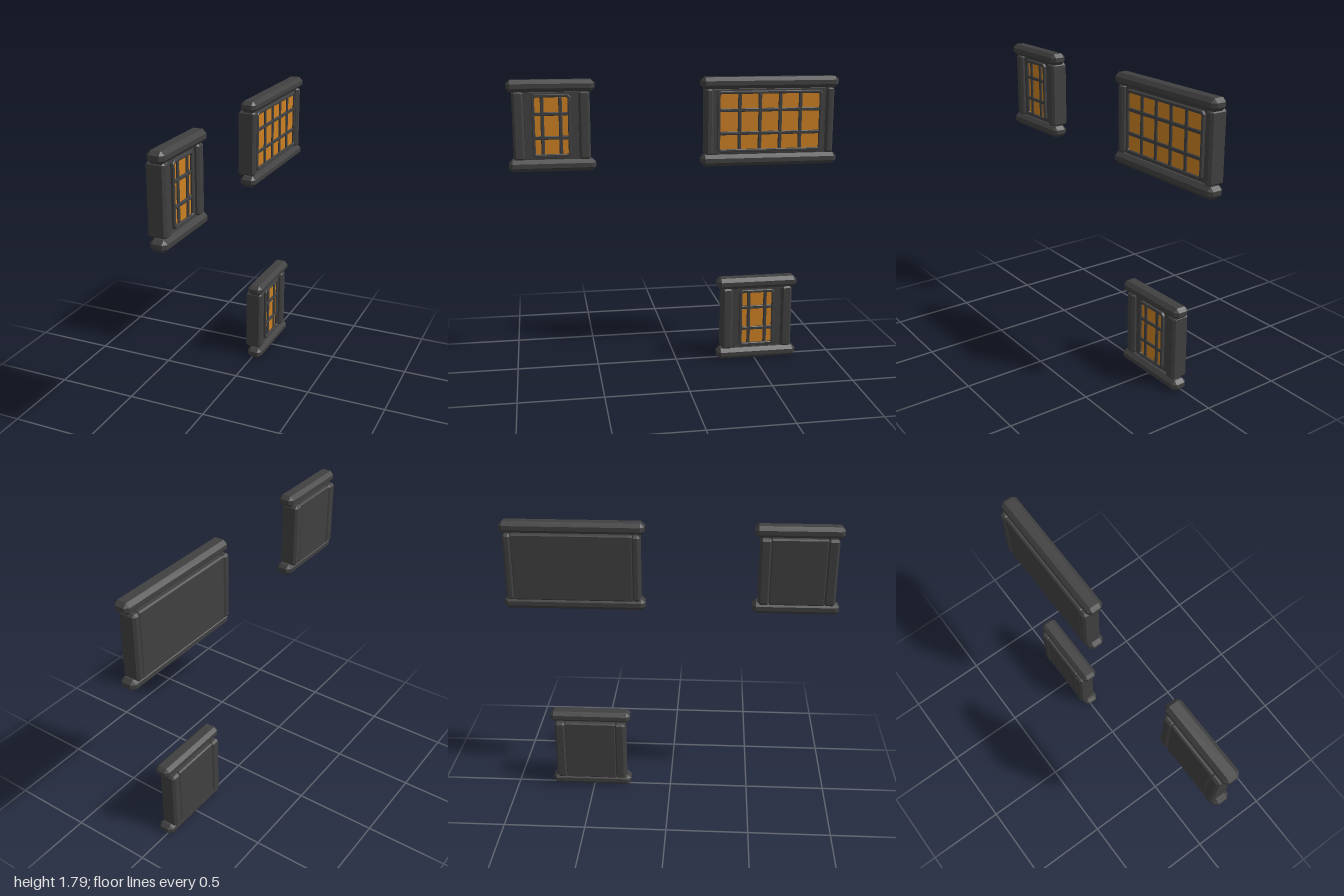
import * as THREE from 'three';
import { ConvexGeometry } from 'three/addons/geometries/ConvexGeometry.js';

const dark = new THREE.MeshStandardMaterial({ color: 0x404040 });
dark.name = 'charcoal frame';
const amber = new THREE.MeshStandardMaterial({ color: 0xcc8022 });
amber.name = 'amber glass';

// Box with every edge cut at 45 degrees
function chamferBox(w, h, d, c) {
  const pts = [];
  for (const x of [-1, 1]) for (const y of [-1, 1]) for (const z of [-1, 1]) {
    const [a, b, e] = [w / 2, h / 2, d / 2];
    pts.push(
      new THREE.Vector3(x * a, y * (b - c), z * (e - c)),
      new THREE.Vector3(x * (a - c), y * b, z * (e - c)),
      new THREE.Vector3(x * (a - c), y * (b - c), z * e));
  }
  return new ConvexGeometry(pts);
}

function add(group, name, geometry, material, x, y, z) {
  const mesh = new THREE.Mesh(geometry, material);
  mesh.name = name;
  mesh.position.set(x, y, z);
  group.add(mesh);
}

// Rectangle with cut corners, as an outline or as a hole
function cutRect(Type, w, h, c) {
  const a = w / 2, b = h / 2;
  return new Type([[c - a, -b], [a - c, -b], [a, c - b], [a, b - c], [a - c, b], [c - a, b], [-a, b - c], [-a, c - b]]
    .map(p => new THREE.Vector2(...p)));
}

// Thin raised border facing +x
function borderGeometry(w, h, t) {
  const shape = cutRect(THREE.Shape, w, h, 0.016);
  shape.holes.push(cutRect(THREE.Path, w - 2 * t, h - 2 * t, 0.006));
  return new THREE.ExtrudeGeometry(shape, {
    depth: 0.02, bevelThickness: 0.004, bevelSize: 0.004, bevelOffset: -0.004, bevelSegments: 1
  }).rotateY(Math.PI / 2);
}

// One window around its own middle, facing +x
function makeWindow(name, { rail, postCentre, postWidth, glass, bars }) {
  const g = new THREE.Group();
  g.name = name;
  // top and bottom rails, side posts
  for (const s of [-1, 1]) {
    add(g, s > 0 ? 'topRail' : 'bottomRail', chamferBox(0.1, 0.07, rail, 0.022), dark, 0.006, s * 0.233, 0);
    add(g, 'sidePost', chamferBox(0.11, 0.406, postWidth, 0.014), dark, -0.01, 0, s * postCentre);
  }
  // backing panel between the posts
  add(g, 'backPanel', chamferBox(0.08, 0.405, 2 * postCentre - postWidth + 0.012, 0.008), dark, -0.02, 0, 0);
  // glass with its border and glazing bars
  add(g, 'glassPane', new THREE.BoxGeometry(0.008, 0.34, glass), amber, 0.021, 0, 0);
  add(g, 'glassBorder', borderGeometry(glass + 0.034, 0.37, 0.018), dark, 0.014, 0, 0);
  for (const z of bars)
    add(g, 'uprightBar', chamferBox(0.022, 0.34, 0.021, 0.004), dark, 0.024, 0, z);
  for (const y of [-0.07, 0.07])
    add(g, 'crossBar', chamferBox(0.022, 0.021, glass, 0.004), dark, 0.024, y, 0);
  return g;
}

export function createModel() {
  const model = new THREE.Group();
  model.name = 'windowSet';

  const small = { rail: 0.512, postCentre: 0.192, postWidth: 0.068, glass: 0.194, bars: [-0.053, 0.053] };
  const large = {
    rail: 0.848, postCentre: 0.375, postWidth: 0.05, glass: 0.62,
    bars: [-0.189, -0.063, 0.063, 0.189]
  };

  const place = (w, x, y, z) => { w.position.set(x, y, z); model.add(w); };
  place(makeWindow('upperSmallWindow', small), 0, 1.522, 0.744);
  place(makeWindow('upperLargeWindow', large), 0, 1.525, -0.573);
  place(makeWindow('lowerSmallWindow', small), 0.008, 0.272, -0.514);
  return model;
}
